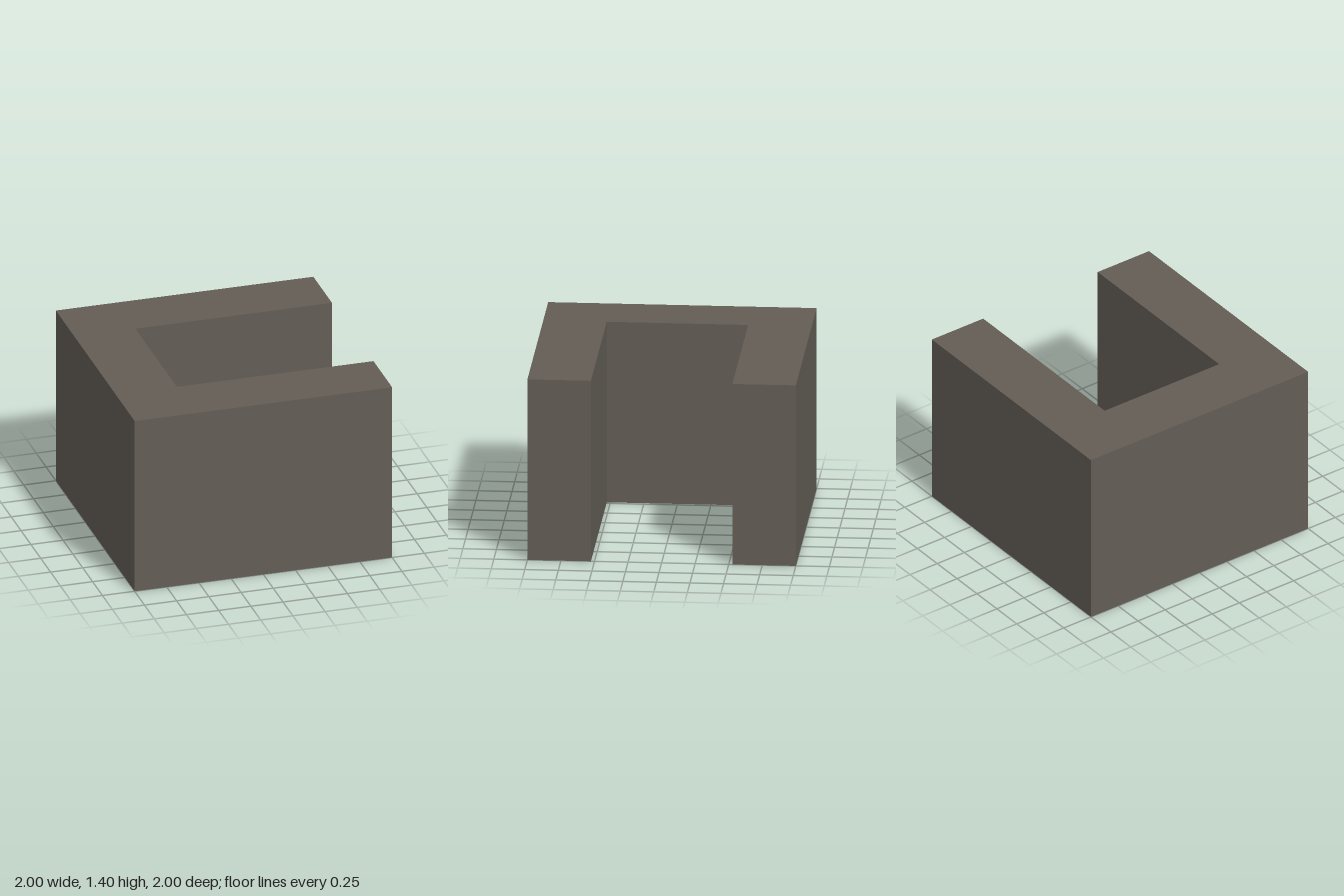
import * as THREE from 'three';

export function createModel() {
  const model = new THREE.Group();
  model.name = 'channelBlock';

  const stone = new THREE.MeshStandardMaterial({ color: 0x635d55 });
  stone.name = 'warm grey';

  const height = 1.4;
  const outer = 1;
  const inner = 0.527;

  // U-shaped plan, open towards +x
  const plan = new THREE.Shape([
    [-outer, -outer], [outer, -outer], [outer, -inner], [-inner, -inner],
    [-inner, inner], [outer, inner], [outer, outer], [-outer, outer],
  ].map(([x, z]) => new THREE.Vector2(x, z)));

  // Walls: the plan raised to full height
  const geometry = new THREE.ExtrudeGeometry(plan, { depth: height, bevelEnabled: false });
  geometry.rotateX(-Math.PI / 2);

  const walls = new THREE.Mesh(geometry, stone);
  walls.name = 'walls';
  model.add(walls);

  return model;
}
